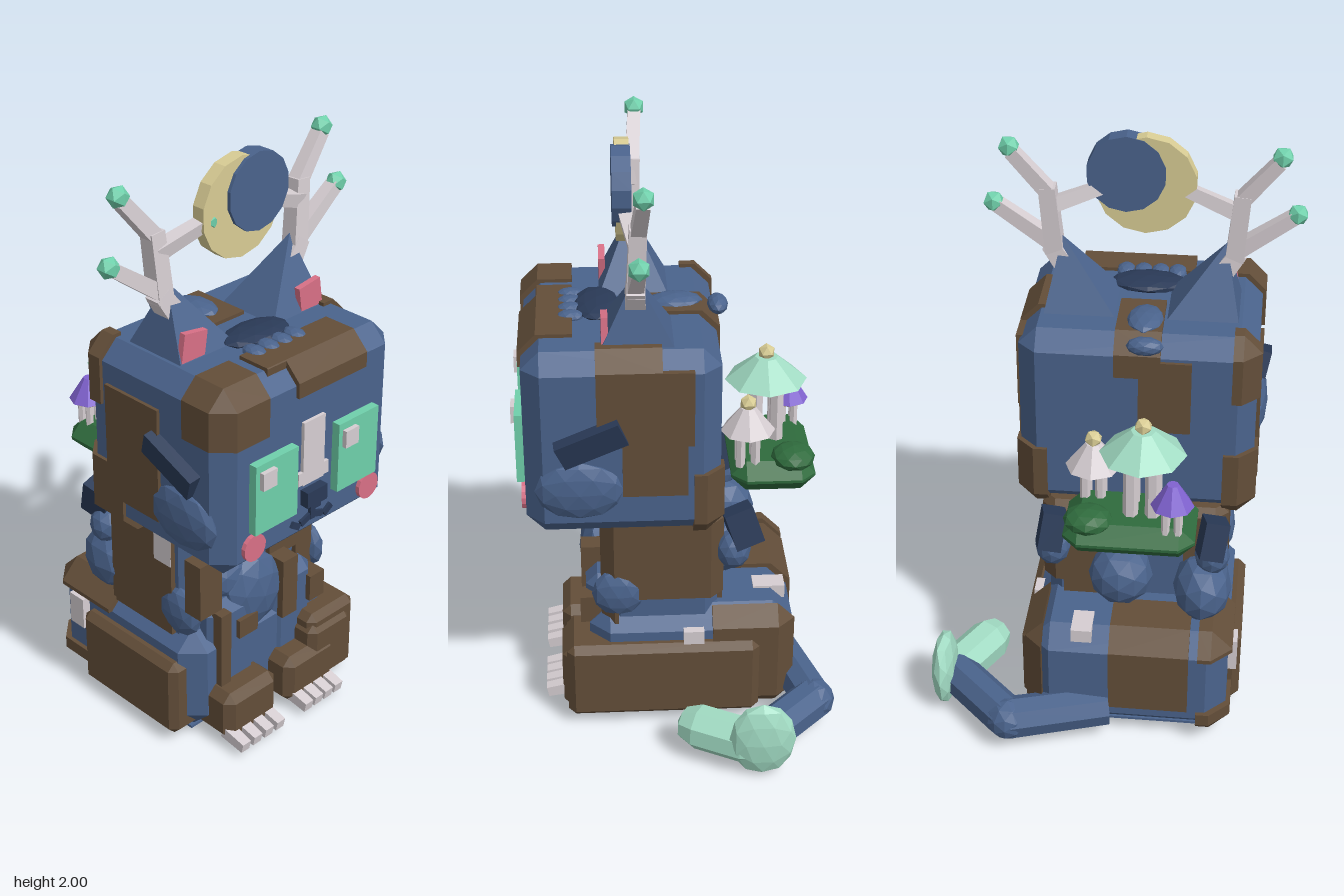
import * as THREE from 'three';
import { ConvexGeometry } from 'three/addons/geometries/ConvexGeometry.js';

const V = (x, y, z) => new THREE.Vector3(x, y, z);
const CX = -0.093; // symmetry plane of the body
const flip = x => 2 * CX - x;

// Corner points of a box [x0,x1,y0,y1,z0,z1] with chamfer b
function chamferPoints([x0, x1, y0, y1, z0, z1], b) {
  const pts = [];
  for (const [x, i] of [[x0, b], [x1, -b]]) for (const [y, j] of [[y0, b], [y1, -b]]) for (const [z, k] of [[z0, b], [z1, -b]])
    pts.push(V(x, y + j, z + k), V(x + i, y, z + k), V(x + i, y + j, z));
  return pts;
}

// Cuts a convex solid down to the part inside an axis-aligned region
function clip(points, region) {
  ['x', 'x', 'y', 'y', 'z', 'z'].forEach((axis, n) => {
    const s = n % 2 ? -1 : 1, inside = p => s * (p[axis] - region[n]);
    if (points.every(p => inside(p) >= 0)) return;
    const pos = new ConvexGeometry(points).attributes.position, kept = new Map();
    const keep = p => kept.set(p.toArray().map(v => Math.round(v * 1e4)).join(), p);
    for (let i = 0; i < pos.count; i++) {
      const a = V().fromBufferAttribute(pos, i);
      const c = V().fromBufferAttribute(pos, i % 3 === 2 ? i - 2 : i + 1);
      const da = inside(a), dc = inside(c);
      if (da >= 0) keep(a);
      if (da * dc < 0) keep(a.clone().lerp(c, da / (da - dc)));
    }
    points = [...kept.values()];
  });
  return points;
}

export function createModel() {
  const model = new THREE.Group();
  model.name = 'guardianBeast';
  const mat = (name, color) => Object.assign(new THREE.MeshStandardMaterial({ color, flatShading: true }), { name });
  const blue = mat('blueFur', 0x4a638c), brown = mat('brownFur', 0x634e39), navy = mat('navy', 0x2a3a57);
  const teal = mat('teal', 0x6fd0ab), mint = mat('mint', 0xa2dcc4), bone = mat('bone', 0xd6ced2);
  const pink = mat('pink', 0xd87086), gold = mat('paleGold', 0xd8cc94), green = mat('mossGreen', 0x2f6b3d), purple = mat('purple', 0x8062d0);

  const add = (name, geo, m, x = 0, y = 0, z = 0) => {
    const mesh = new THREE.Mesh(geo, m);
    mesh.name = name;
    mesh.position.set(x, y, z);
    model.add(mesh);
    return mesh;
  };
  const box = (name, m, [x0, x1, y0, y1, z0, z1]) =>
    add(name, new THREE.BoxGeometry(x1 - x0, y1 - y0, z1 - z0), m, (x0 + x1) / 2, (y0 + y1) / 2, (z0 + z1) / 2);
  const chamferBox = (name, m, b, bevel) => add(name, new ConvexGeometry(chamferPoints(b, bevel)), m);
  // Fur patch: a shell just outside the host block, limited to a region
  const patch = (name, host, bevel, region, grow = 0.012) =>
    add(name, new ConvexGeometry(clip(chamferPoints(host.map((v, i) => v + (i % 2 ? grow : -grow)), bevel), region)), brown);
  const along = (name, m, a, b, geo) => {
    const mid = a.clone().add(b).multiplyScalar(0.5), mesh = add(name, geo, m, mid.x, mid.y, mid.z);
    mesh.quaternion.setFromUnitVectors(V(0, 1, 0), b.clone().sub(a).normalize());
    return mesh;
  };
  const beam = (name, m, a, b, r, r2 = r, sides = 4) =>
    along(name, m, a, b, new THREE.CylinderGeometry(r2, r, a.distanceTo(b), sides, 1).rotateY(Math.PI / sides));
  const lump = (name, m, x, y, z, sx, sy, sz, tilt = 0) => {
    const mesh = add(name, new THREE.IcosahedronGeometry(1, 1), m, x, y, z);
    mesh.scale.set(sx, sy, sz);
    mesh.rotation.z = tilt;
    return mesh;
  };

  // Main blocks
  const HEAD = [-0.48, 0.294, 0.78, 1.43, -0.14, 0.495];
  const TORSO = [-0.39, 0.204, 0.3, 0.8, -0.14, 0.24];
  const BASE = [-0.43, 0.245, 0.03, 0.43, -0.4, 0.3];
  chamferBox('head', blue, HEAD, 0.06);
  chamferBox('torso', blue, TORSO, 0.045);
  chamferBox('base', blue, BASE, 0.07);
  box('undersideOfBase', blue, [-0.38, 0.195, 0.022, 0.031, -0.34, 0.24]);

  // Brown patches on the head
  for (const r of [
    [-1, -0.295, 1.25, 2, 0.33, 1], [-0.17, 0.135, 1.33, 2, 0.33, 1], [-0.25, -0.16, 1.4, 2, 0.33, 0.45],
    [-0.17, -0.02, 1.3, 2, -1, 0.12], [0.2, 1, 1.12, 1.38, -0.05, 0.26], [0.2, 1, 0.94, 1.13, -0.03, 0.18],
    [0.2, 1, 1.3, 2, 0.05, 0.26], [0.2, 1, 0.7, 1.01, -1, -0.05], [-1, -0.4, 0.9, 1.3, -0.02, 0.22],
    [-1, -0.38, 0.7, 1.02, -1, 0.05], [-0.27, -0.1, 1.1, 1.36, -1, 0], [-1, -0.4, 1.22, 2, -1, -0.04],
  ]) patch('headFurPatch', HEAD, 0.06, r);
  box('hangingFurLock', brown, [-0.495, -0.4, 0.62, 0.82, 0.34, 0.41]);

  // Brown patches on the torso and base
  for (const r of [
    [0.1, 1, 0.48, 0.8, -1, 1], [0.15, 1, 0.38, 0.8, 0.2, 1], [-1, -0.35, 0.4, 0.8, -1, 0.18],
    [-0.18, -0.09, 0.64, 0.8, 0.15, 1], [-0.03, 0.13, 0.56, 0.8, 0.15, 1], [-0.02, 0.15, 0.35, 0.8, -1, 0],
    [-1, -0.26, 0.5, 0.8, -1, 0],
  ]) patch('torsoFurPatch', TORSO, 0.045, r, 0.018);
  for (const r of [
    [0.2, 1, 0, 0.36, -1, -0.12], [0.2, 1, 0.3, 1, -1, -0.12], [-0.3, -0.03, 0.14, 1, -1, -0.2],
    [-1, -0.33, 0, 0.13, -1, -0.2], [-1, -0.33, 0.36, 1, -1, -0.1],
  ]) patch('baseFurPatch', BASE, 0.07, r, 0.015);
  for (const r of [
    [-0.41, -0.385, 0.67, 0.77, 0.1, 0.18], [0.2, 0.265, 0.32, 0.37, -0.09, -0.02],
    [0.03, 0.1, 0.39, 0.438, -0.38, -0.27], [-0.46, -0.42, 0.24, 0.36, -0.29, -0.22],
  ]) box('paleFleck', bone, r);

  // Limbs, mirrored; the left haunch reaches further forward
  for (const s of [1, -1]) {
    const span = (a, b) => (s > 0 ? [a, b] : [flip(b), flip(a)]);
    chamferBox('haunch', brown, [...span(0.06, 0.285), 0.035, 0.325, ...(s > 0 ? [-0.28, 0.38] : [-0.22, 0.25])], 0.025);
    chamferBox('frontLeg', blue, [...span(-0.06, 0.15), 0.08, 0.52, 0.12, 0.31], 0.04);
    chamferBox('frontPaw', brown, [...span(-0.07, 0.17), 0.03, 0.215, 0.14, 0.4], 0.03);
    box('pawPad', navy, [...span(-0.03, 0.13), 0.023, 0.032, 0.25, 0.37]);
    for (let i = 0; i < 4; i++) {
      const x = s > 0 ? -0.025 + i * 0.05 : flip(-0.02 + i * 0.055);
      beam('claw', bone, V(x, 0.062, 0.36), V(x, 0.042, 0.455), 0.03, 0.026);
    }
    // Fur tufts on head and torso sides
    const ox = s > 0 ? 0.29 : flip(0.29), sx = s > 0 ? 0.2 : flip(0.2);
    lump('cheekTuft', blue, ox, 0.96, 0.32, 0.04, 0.105, 0.145);
    const tuft = add('darkCheekTuft', new THREE.BoxGeometry(0.05, 0.09, 0.22), navy, ox + s * 0.012, 1.14, 0.28);
    tuft.rotation.set(0.4, 0, -s * 0.2);
    lump('sideTuft', blue, sx, 0.5, 0.2, 0.04, 0.09, 0.09);
  }
  chamferBox('legFur', brown, [0.05, 0.25, 0.05, 0.29, 0.2, 0.395], 0.025);
  box('legFur', brown, [-0.03, 0.04, 0.35, 0.58, 0.25, 0.325]);
  box('legFur', brown, [0.1, 0.17, 0.36, 0.46, 0.25, 0.33]);
  box('legFur', brown, [-0.235, -0.15, 0.37, 0.44, 0.25, 0.325]);
  box('legFur', brown, [-0.32, -0.275, 0.2, 0.5, 0.26, 0.325]);
  lump('chestTuft', blue, -0.12, 0.49, 0.26, 0.13, 0.15, 0.07, 0.3);
  lump('chestTuft', blue, -0.2, 0.57, 0.23, 0.1, 0.09, 0.06);

  // Tufts on the back and crown
  lump('backTuft', blue, -0.05, 0.54, -0.18, 0.11, 0.11, 0.1);
  lump('backTuft', blue, -0.33, 0.51, -0.18, 0.1, 0.12, 0.13);
  for (const x of [-0.36, 0.18]) {
    const t = add('darkBackTuft', new THREE.BoxGeometry(0.08, 0.13, 0.1), navy, x, 0.74, -0.22);
    t.rotation.set(0.3, 0.2, 0.15);
    lump('backTuft', blue, x, 0.65, -0.19, 0.06, 0.07, 0.06);
  }
  lump('crownTuft', blue, -0.11, 1.44, -0.01, 0.06, 0.025, 0.09);
  lump('crownTuft', blue, -0.12, 1.42, -0.15, 0.06, 0.03, 0.035);
  lump('darkCrownTuft', navy, -0.1, 1.44, 0.25, 0.13, 0.022, 0.075);
  for (let i = 0; i < 4; i++) lump('crownLock', blue, -0.19 + i * 0.058, 1.435, 0.335, 0.032, 0.02, 0.045);

  // Face
  for (const x of [CX - 0.184, CX + 0.184]) {
    box('eye', teal, [x - 0.092, x + 0.092, 0.935, 1.18, 0.48, 0.524]);
    box('eyeHighlight', bone, [x - 0.075, x - 0.016, 1.095, 1.155, 0.52, 0.54]);
  }
  for (const x of [CX - 0.262, CX + 0.262])
    add('cheek', new THREE.CylinderGeometry(0.047, 0.047, 0.03, 14).rotateX(Math.PI / 2), pink, x, 0.88, 0.495);
  box('blaze', bone, [-0.143, -0.048, 1.01, 1.235, 0.48, 0.507]);
  box('blazeBase', bone, [-0.163, -0.027, 1.015, 1.06, 0.48, 0.507]);
  box('nose', navy, [-0.14, -0.05, 0.935, 0.99, 0.48, 0.527]);
  box('noseTip', navy, [-0.118, -0.07, 0.915, 0.94, 0.48, 0.52]);
  box('mouthLine', navy, [-0.104, -0.083, 0.87, 0.925, 0.48, 0.508]);
  for (const s of [1, -1]) {
    const p = [[0, 0.885], [0.05, 0.868], [0.057, 0.86], [0.09, 0.882]].map(([x, y]) => V(CX + s * x, y, 0.495));
    beam('mouth', navy, p[0], p[1], 0.015);
    beam('mouth', navy, p[2], p[3], 0.015);
  }

  // Ears and antlers, mirrored
  for (const s of [1, -1]) {
    const P = (dx, y, z) => V(CX + s * dx, y, z);
    add('ear', new ConvexGeometry([P(0.07, 1.41, 0), P(0.32, 1.41, 0), P(0.07, 1.41, 0.25), P(0.32, 1.41, 0.25), P(0.265, 1.655, 0.13)]), blue);
    const inner = add('innerEar', new THREE.BoxGeometry(0.095, 0.095, 0.022), pink, CX + s * 0.255, 1.473, 0.228);
    inner.rotation.z = s * 0.15;
    beam('antlerStem', bone, P(0.25, 1.55, 0.13), P(0.305, 1.63, 0.13), 0.048, 0.04);
    beam('antlerStem', bone, P(0.29, 1.6, 0.13), P(0.31, 1.83, 0.12), 0.042, 0.038);
    beam('antlerTop', bone, P(0.305, 1.81, 0.12), P(0.42, 1.95, 0.107), 0.034, 0.03);
    beam('antlerSide', bone, P(0.295, 1.63, 0.13), P(0.475, 1.76, 0.124), 0.036, 0.03);
    beam('antlerInner', bone, P(0.305, 1.76, 0.125), P(0.13, 1.82, 0.16), 0.034, 0.028);
    for (const [dx, y, z, r] of [[0.427, 1.965, 0.107, 0.036], [0.484, 1.767, 0.124, 0.036], [0.12, 1.82, 0.165, 0.027]])
      add('antlerBead', new THREE.IcosahedronGeometry(r, 0), teal, CX + s * dx, y, z);
  }

  // Crescent moon made of two discs
  add('moon', new THREE.CylinderGeometry(0.164, 0.164, 0.046, 14).rotateX(Math.PI / 2), gold, -0.095, 1.836, 0.16);
  add('moonShade', new THREE.CylinderGeometry(0.128, 0.128, 0.06, 14).rotateX(Math.PI / 2), blue, -0.032, 1.872, 0.165);

  // Mossy shelf with mushrooms
  chamferBox('mossShelf', green, [-0.31, 0.115, 0.81, 0.92, -0.475, -0.19], 0.05);
  lump('mossBump', green, 0.035, 0.92, -0.4, 0.08, 0.04, 0.075);
  const mushroom = (cap, x, z, r, y, h, stem, knob) => {
    for (let i = 0; i < 4; i++) {
      const a = (i + 0.5) * Math.PI / 2, px = x + Math.cos(a) * stem, pz = z + Math.sin(a) * stem;
      beam('mushroomPost', bone, V(px, 0.9, pz), V(px, y, pz), stem * 0.5, stem * 0.5, 6);
    }
    add('mushroomGills', new THREE.CylinderGeometry(r * 0.9, r * 0.8, 0.009, 8), gold, x, y - 0.004, z);
    add('mushroomCap', new THREE.CylinderGeometry(r * 0.28, r, h, 8), cap, x, y + h / 2, z);
    if (knob) add('mushroomKnob', new THREE.IcosahedronGeometry(knob, 0), gold, x, y + h + knob * 0.5, z);
  };
  mushroom(mint, -0.133, -0.32, 0.14, 1.13, 0.085, 0.05, 0.03);
  mushroom(bone, 0.033, -0.245, 0.092, 1.025, 0.085, 0.035, 0.03);
  mushroom(purple, -0.235, -0.41, 0.07, 1.0, 0.08, 0.028, 0);

  // Tail curling to the side, with a pale tip
  const bends = [V(-0.02, 0.11, -0.37), V(0.31, 0.105, -0.465), V(0.53, 0.105, -0.245)];
  beam('tail', blue, bends[0], bends[1], 0.07, 0.073, 8);
  beam('tail', blue, bends[1], bends[2], 0.073, 0.073, 8);
  add('tailJoint', new THREE.IcosahedronGeometry(0.075, 1), blue, ...bends[1].toArray());
  const a = V(0.525, 0.105, -0.22), b = V(0.44, 0.105, -0.06);
  along('tailTip', mint, a, b, new THREE.CapsuleGeometry(0.077, a.distanceTo(b), 2, 8));
  lump('tailLeaf', mint, 0.562, 0.142, -0.265, 0.045, 0.142, 0.112);
  return model;
}
